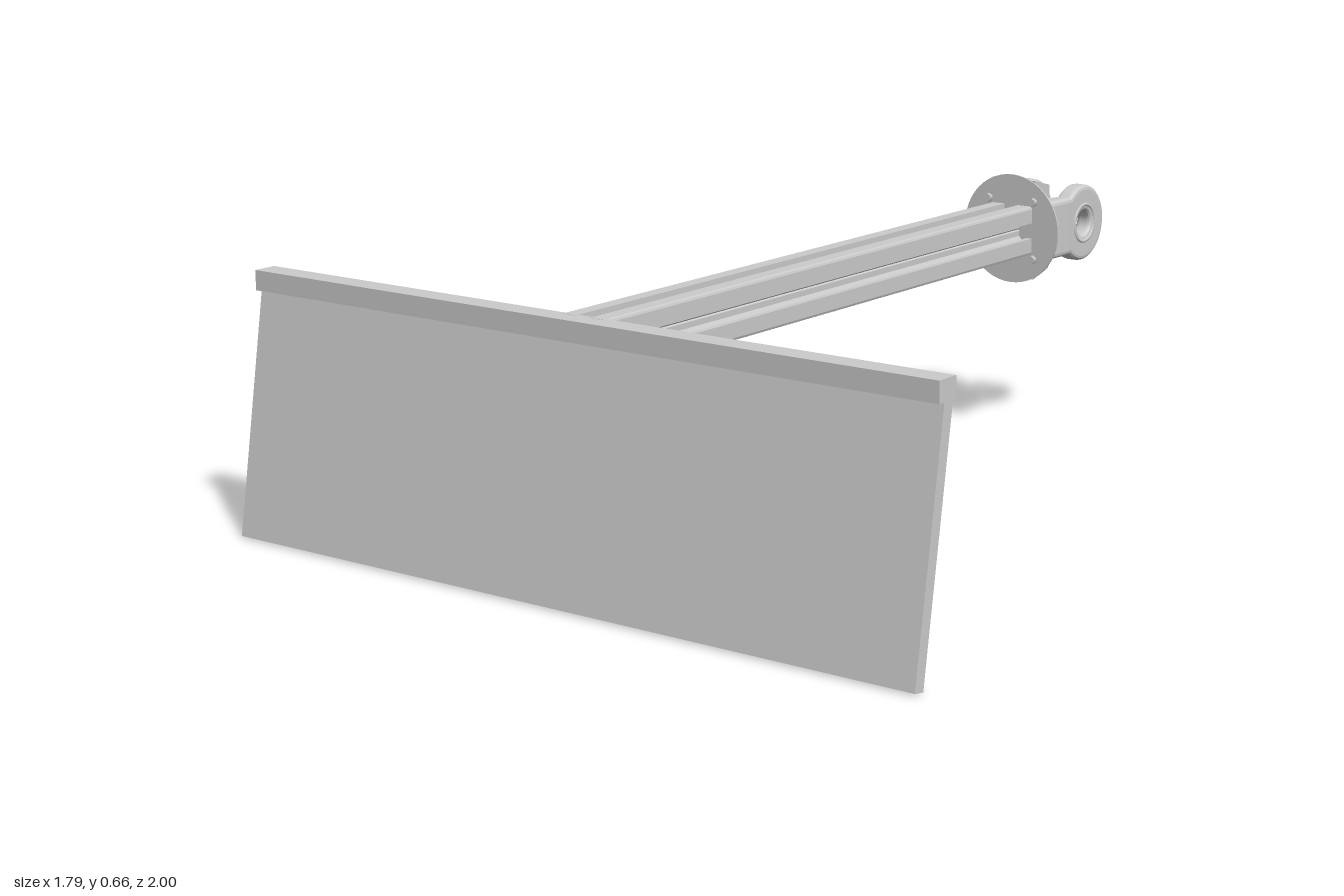
import * as THREE from 'three';

const material = new THREE.MeshStandardMaterial({ color: 0xcccccc, side: THREE.DoubleSide });
const AXIS_Y = 0.53; // height of the beam axis
const EYE_Z = -0.905;

function add(parent, name, geometry, x = 0, y = 0, z = 0) {
  const mesh = new THREE.Mesh(geometry, material);
  mesh.name = name;
  mesh.position.set(x, y, z);
  parent.add(mesh);
  return mesh;
}

const polygon = (points) => new THREE.Shape(points.map(([a, b]) => new THREE.Vector2(a, b)));

// Extrude a (z, y) outline across x, centred on x = 0
function acrossX(shape, width, bevel = 0) {
  const depth = width - 2 * bevel;
  const g = new THREE.ExtrudeGeometry(shape, {
    depth, curveSegments: 28, bevelEnabled: bevel > 0,
    bevelSize: bevel, bevelThickness: bevel, bevelOffset: -bevel, bevelSegments: 3,
  });
  return g.translate(0, 0, -depth / 2).rotateY(-Math.PI / 2);
}

// Slotted square profile: one quarter outline turned four times
function beamShape() {
  const quarter = [
    [0.053, -0.06], [0.058, -0.058], [0.06, -0.053], [0.06, -0.019], [0.046, -0.019],
    [0.046, -0.034], [0.038, -0.034], [0.024, -0.016], [0.024, -0.003], [0.021, 0],
    [0.024, 0.003], [0.024, 0.016], [0.038, 0.034], [0.046, 0.034], [0.046, 0.019], [0.06, 0.019],
  ];
  const points = [];
  for (let i = 0; i < 4; i++) {
    const c = Math.round(Math.cos(i * Math.PI / 2)), s = Math.round(Math.sin(i * Math.PI / 2));
    for (const [x, y] of quarter) points.push([x * c - y * s, x * s + y * c]);
  }
  const shape = polygon(points);
  shape.holes.push(new THREE.Path().absarc(0, 0, 0.009, 0, Math.PI * 2, true));
  return shape;
}

// Round fork eye with a through hole
function eyeGeometry(width) {
  const shape = new THREE.Shape().absarc(0, 0, 0.094, 0, Math.PI * 2, false);
  shape.holes.push(new THREE.Path().absarc(0, 0, 0.03, 0, Math.PI * 2, true));
  return acrossX(shape, width, 0.011);
}

// U-shaped plan of the fork body, drawn in (x, -z)
function yokeShape() {
  const s = new THREE.Shape();
  s.moveTo(-0.1, 0.74);
  s.lineTo(0.1, 0.74);
  s.quadraticCurveTo(0.108, 0.79, 0.105, 0.86);
  s.lineTo(0.064, 0.86);
  s.bezierCurveTo(0.062, 0.81, 0.045, 0.772, 0.01, 0.772);
  s.bezierCurveTo(-0.025, 0.772, -0.042, 0.8, -0.044, 0.86);
  s.lineTo(-0.108, 0.86);
  s.quadraticCurveTo(-0.112, 0.79, -0.1, 0.74);
  return s;
}

export function createModel() {
  const model = new THREE.Group();
  model.name = 'bladeOnArm';

  // Tilted blade and its top rail
  add(model, 'blade', acrossX(polygon([[0.97, 0], [0.998, 0.005], [0.904, 0.56], [0.876, 0.555]]), 1.79));
  add(model, 'topRail', new THREE.BoxGeometry(1.79, 0.045, 0.031), 0, 0.567, 0.908);
  add(model, 'rearRail', new THREE.BoxGeometry(1.79, 0.045, 0.025), 0, 0.567, 0.88);

  // Slotted beam
  const beam = new THREE.ExtrudeGeometry(beamShape(), { depth: 1.615, bevelEnabled: false, curveSegments: 8 });
  add(model, 'beam', beam, 0, AXIS_Y, -0.737);

  // Mounting fork
  const fork = new THREE.Group();
  fork.name = 'fork';
  fork.position.y = AXIS_Y;
  model.add(fork);

  const flange = new THREE.LatheGeometry(
    [[0, 0], [0.134, 0], [0.134, 0.004], [0.118, 0.014], [0, 0.014]].map(([r, h]) => new THREE.Vector2(r, h)), 48);
  flange.rotateX(-Math.PI / 2);
  const flat = flange.toNonIndexed();
  flat.computeVertexNormals();
  add(fork, 'flange', flat, 0, 0, -0.733);

  const yoke = new THREE.ExtrudeGeometry(yokeShape(), {
    depth: 0.12, curveSegments: 16, bevelEnabled: true,
    bevelSize: 0.012, bevelOffset: -0.012, bevelThickness: 0.012, bevelSegments: 3,
  });
  yoke.rotateX(-Math.PI / 2);
  add(fork, 'yoke', yoke, 0, -0.06, 0);

  // Eyes with raised rims around the hole
  for (const [x, width, side, name] of [[0.084, 0.043, 1, 'leftEye'], [-0.076, 0.07, -1, 'rightEye']]) {
    add(fork, name, eyeGeometry(width), x, 0, EYE_Z);
    const rim = new THREE.TorusGeometry(0.046, 0.005, 8, 36).rotateY(Math.PI / 2);
    add(fork, name + 'Rim', rim, x + side * (width / 2 - 0.002), 0, EYE_Z);
  }

  // Gussets and bolts around the flange
  const gusset = polygon([[-0.742, 0.05], [-0.742, 0.122], [-0.81, 0.104], [-0.813, 0.05]]);
  for (const sx of [-1, 1]) {
    for (const sy of [-1, 1]) {
      const web = add(fork, 'gusset', acrossX(gusset, 0.016), sx * 0.053, 0, 0);
      web.scale.y = sy;
      const bolt = new THREE.CylinderGeometry(0.011, 0.011, 0.012, 6).rotateX(Math.PI / 2);
      add(fork, 'bolt', bolt, sx * 0.064, sy * 0.071, -0.728);
    }
  }
  add(fork, 'centreScrew', new THREE.CylinderGeometry(0.014, 0.014, 0.06, 16).rotateX(Math.PI / 2), 0, 0, -0.798);

  // Retaining clip on the outer right side
  const clip = add(fork, 'clip', new THREE.BoxGeometry(0.034, 0.03, 0.03), -0.115, 0, -0.8);
  clip.rotation.y = 0.5;
  add(fork, 'clipPin', new THREE.CylinderGeometry(0.009, 0.009, 0.06, 12).rotateZ(Math.PI / 2), -0.112, 0, -0.817);

  return model;
}
